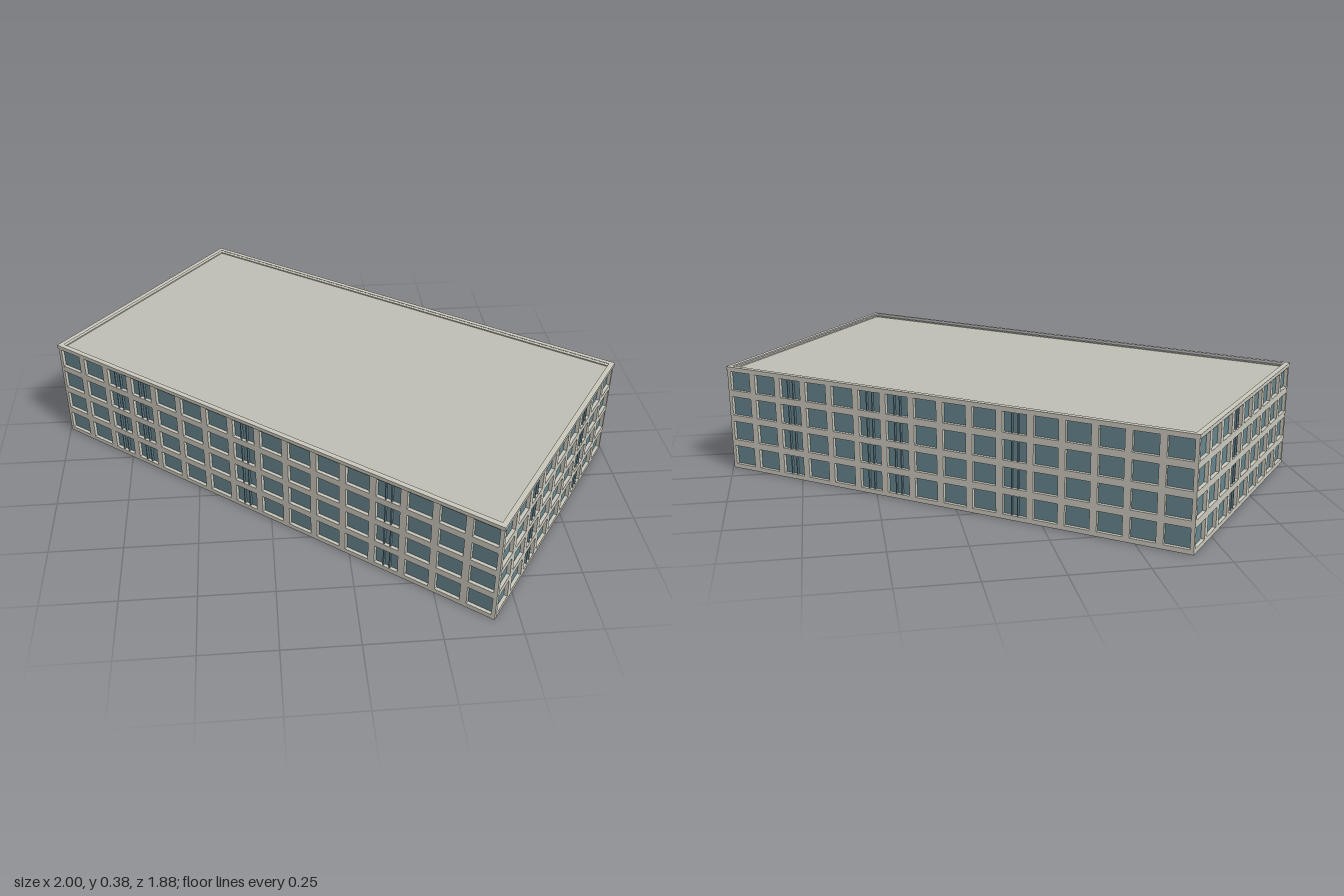
import * as THREE from 'three';

const FLOORS = 4, FLOOR_H = 0.0925, WALL_H = 0.37, TOP = 0.38, DEPTH = 0.013;
// footprint corners as (x, z): front wall first, then right, back and left
const CORNERS = [[-1, -0.2], [0.42, 0.938], [1, 0.095], [-0.4, -0.938]].map(([x, z]) => new THREE.Vector2(x, z));
const BAYS = [16, 9, 16, 9];
// window columns that carry a pair of mullions on each wall
const MULLIONS = [[2, 3, 7, 12], [2, 6], [2, 5, 6, 10], [3]];

// move every edge of the footprint inward by d
function inset(points, d) {
  const n = points.length;
  const normal = (i) => {
    const u = points[(i + 1) % n].clone().sub(points[i]).normalize();
    return new THREE.Vector2(-u.y, u.x).multiplyScalar(1);
  };
  return points.map((p, i) => {
    let a = normal((i + n - 1) % n), b = normal(i);
    // choose the side that faces the middle of the plan
    if (b.dot(p) > 0) { b.negate(); a.negate(); }
    return p.clone().addScaledVector(a.clone().add(b), d / (1 + a.dot(b)));
  });
}

function rectPath(x0, y0, w, h) {
  return new THREE.Path([[x0, y0], [x0, y0 + h], [x0 + w, y0 + h], [x0 + w, y0]].map(([x, y]) => new THREE.Vector2(x, y)));
}

export function createModel() {
  const mat = (name, color, side = THREE.FrontSide) => {
    const m = new THREE.MeshStandardMaterial({ color, side });
    m.name = name;
    return m;
  };
  const wallMat = mat('pale concrete', 0xcbc9bd);
  const glassMat = mat('blue glass', 0x67858f, THREE.DoubleSide);
  const roofMat = mat('roof grey', 0xbfbfb6, THREE.DoubleSide);

  const model = new THREE.Group();
  model.name = 'officeBlock';
  const add = (parent, name, geometry, material) => {
    const mesh = new THREE.Mesh(geometry, material);
    mesh.name = name;
    parent.add(mesh);
    return mesh;
  };

  // four walls pierced by a grid of recessed windows
  const plan = inset(CORNERS, 0.003);
  ['frontWall', 'rightWall', 'backWall', 'leftWall'].forEach((name, k) => {
    const p = plan[k], q = plan[(k + 1) % 4];
    const u = q.clone().sub(p), length = u.length();
    const wall = new THREE.Group();
    wall.name = name;
    wall.position.set(p.x, 0, p.y);
    wall.rotation.y = Math.atan2(-u.y, u.x);
    model.add(wall);

    const shape = new THREE.Shape();
    shape.moveTo(0, 0).lineTo(length, 0).lineTo(length, WALL_H).lineTo(0, WALL_H).closePath();
    const pitch = length / BAYS[k], w = pitch * 0.78, h = 0.069;
    for (let f = 0; f < FLOORS; f++) {
      for (let b = 0; b < BAYS[k]; b++) {
        const x = (b + 0.5) * pitch, y = f * FLOOR_H + 0.016;
        shape.holes.push(rectPath(x - w / 2, y, w, h));
        const pane = add(wall, 'windowPane', new THREE.PlaneGeometry(w, h), glassMat);
        pane.position.set(x, y + h / 2, -DEPTH + 0.001);
        if (!MULLIONS[k].includes(b)) continue;
        for (const s of [-1, 1]) {
          const bar = add(wall, 'mullion', new THREE.BoxGeometry(0.004, h, 0.008), glassMat);
          bar.position.set(x + s * w * 0.13, y + h / 2, -DEPTH + 0.006);
        }
      }
    }
    const geometry = new THREE.ExtrudeGeometry(shape, { depth: DEPTH, bevelEnabled: false });
    geometry.translate(0, 0, -DEPTH);
    add(wall, 'wallPanel', geometry, wallMat);
  });

  // flat roof, which is also the ceiling of the open shell
  const roof = add(model, 'roof', new THREE.ShapeGeometry(new THREE.Shape(inset(CORNERS, 0.008))), roofMat);
  roof.rotation.x = Math.PI / 2;
  roof.position.y = 0.366;

  // low parapet around the roof edge
  const rim = new THREE.Shape(CORNERS);
  rim.holes.push(new THREE.Path(inset(CORNERS, 0.018)));
  const parapet = add(model, 'parapet', new THREE.ExtrudeGeometry(rim, { depth: TOP - 0.367, bevelEnabled: false }), wallMat);
  parapet.rotation.x = Math.PI / 2;
  parapet.position.y = TOP;

  return model;
}
